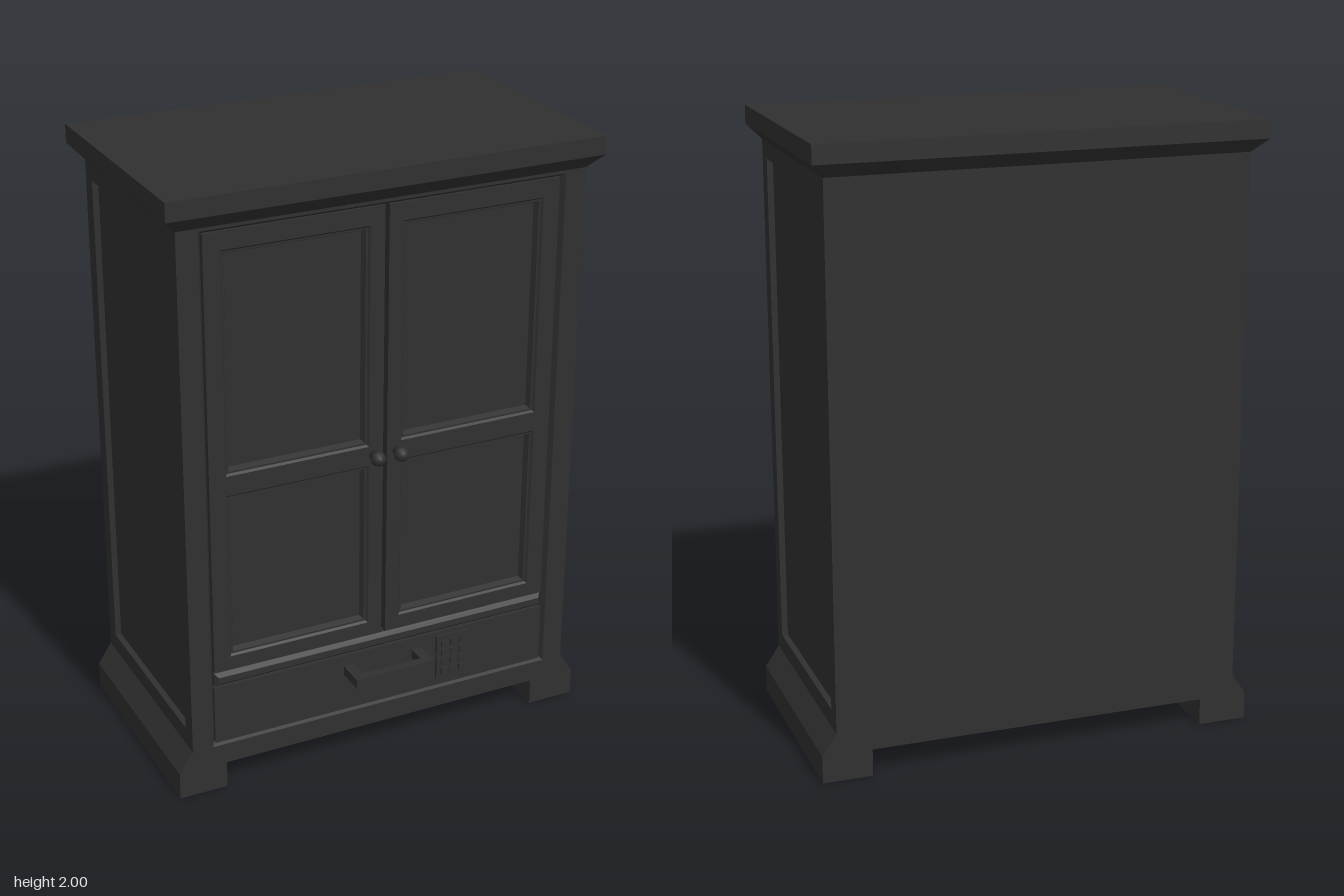
import * as THREE from 'three';

const material = new THREE.MeshStandardMaterial({ color: 0x303030 });

// Rectangle outline as [x0, x1, y0, y1]
function trace(path, [x0, x1, y0, y1]) {
  path.moveTo(x0, y0);
  path.lineTo(x1, y0);
  path.lineTo(x1, y1);
  path.lineTo(x0, y1);
  path.closePath();
  return path;
}

// Flat board with rectangular openings, spanning z0 to z1
function board(outer, holes, z0, z1) {
  const shape = trace(new THREE.Shape(), outer);
  shape.holes = holes.map((h) => trace(new THREE.Path(), h));
  return new THREE.ExtrudeGeometry(shape, { depth: z1 - z0, bevelEnabled: false }).translate(0, 0, z0);
}

// Mitred loft through rectangles [x0, x1, y0, y1, z], optionally capped at start and end
function loft(sections, capStart, capEnd) {
  const rings = sections.map(([x0, x1, y0, y1, z]) =>
    [[x0, y0, z], [x1, y0, z], [x1, y1, z], [x0, y1, z]]);
  const pos = [];
  const quad = (a, b, c, d) => pos.push(...a, ...b, ...c, ...a, ...c, ...d);
  for (let s = 0; s < rings.length - 1; s++) {
    for (let i = 0; i < 4; i++) {
      const j = (i + 1) % 4;
      quad(rings[s][i], rings[s][j], rings[s + 1][j], rings[s + 1][i]);
    }
  }
  if (capStart) quad(...[...rings[0]].reverse());
  if (capEnd) quad(...rings[rings.length - 1]);
  const geometry = new THREE.BufferGeometry();
  geometry.setAttribute('position', new THREE.Float32BufferAttribute(pos, 3));
  geometry.computeVertexNormals();
  return geometry;
}

const inset = ([x0, x1, y0, y1], d, z) => [x0 + d, x1 - d, y0 + d, y1 - d, z];

function box(x0, x1, y0, y1, z0, z1) {
  return new THREE.BoxGeometry(x1 - x0, y1 - y0, z1 - z0)
    .translate((x0 + x1) / 2, (y0 + y1) / 2, (z0 + z1) / 2);
}

export function createModel() {
  const model = new THREE.Group();
  model.name = 'wardrobe';
  const add = (name, geometry, parent = model) => {
    const mesh = new THREE.Mesh(geometry, material);
    mesh.name = name;
    parent.add(mesh);
    return mesh;
  };

  const back = -0.39, front = 0.355, panelZ = 0.315, doorZ = 0.345;

  // Carcass core, which also shows as the back
  add('carcass', box(-0.655, 0.655, 0.16, 1.9, back, panelZ));

  // Base with flared full-depth feet
  const base = new THREE.Shape();
  const half = [[0.56, 0.09], [0.56, 0], [0.722, 0], [0.722, 0.09], [0.675, 0.16]];
  const mirrored = half.map(([x, y]) => [-x, y]).reverse();
  base.setFromPoints([...half, ...mirrored].map(([x, y]) => new THREE.Vector2(x, y)));
  add('base', new THREE.ExtrudeGeometry(base, { depth: front - back, bevelEnabled: false })
    .translate(0, 0, back));

  // Sloped cornice and top slab
  add('cornice', loft([
    [-0.675, 0.675, -0.355, 0.39, 1.895],
    [-0.718, 0.718, -0.395, 0.435, 1.94],
    [-0.718, 0.718, -0.395, 0.435, 2.0],
  ], true, true).rotateX(-Math.PI / 2));

  // Side frames around recessed panels
  for (const [name, x] of [['leftSideFrame', 0.655], ['rightSideFrame', -0.675]]) {
    add(name, board([-front, -back, 0.16, 1.9], [[-0.3, 0.335, 0.22, 1.84]], 0, 0.02)
      .rotateY(Math.PI / 2).translate(x, 0, 0));
  }

  // Front face frame with a bevelled lip
  const opening = [-0.605, 0.605, 0.16, 1.885];
  add('faceFrame', board([-0.655, 0.655, 0.16, 1.9], [opening], panelZ, front));
  add('faceFrameLip', loft([inset(opening, 0, front), inset(opening, 0.012, 0.335)], false, false));

  // Doors, each with two moulded panels and a round knob
  const knobProfile = [[0, 0], [0.014, 0], [0.011, 0.012], [0.019, 0.02], [0.024, 0.032],
    [0.021, 0.046], [0.012, 0.054], [0, 0.057]].map(([x, y]) => new THREE.Vector2(x, y));
  for (const side of [-1, 1]) {
    const door = new THREE.Group();
    door.name = side > 0 ? 'leftDoor' : 'rightDoor';
    model.add(door);
    const rect = (a, b, y0, y1) => side > 0 ? [a, b, y0, y1] : [-b, -a, y0, y1];
    const panels = [rect(0.055, 0.535, 1.095, 1.815), rect(0.055, 0.535, 0.47, 1.03)];
    add('doorFrame', board(rect(0.007, 0.59, 0.422, 1.873), panels, panelZ, doorZ), door);
    for (const p of panels) {
      add('panelMoulding', loft([
        inset(p, 0, doorZ), inset(p, 0.006, 0.338), inset(p, 0.012, 0.338), inset(p, 0.02, 0.32),
      ], false, true), door);
    }
    add('knob', new THREE.LatheGeometry(knobProfile, 20).rotateX(Math.PI / 2)
      .translate(side * 0.04, 1.065, doorZ), door);
  }

  // Moulded rail between doors and drawer
  const rail = [-0.59, 0.59, 0.372, 0.418];
  add('middleRail', loft([
    inset(rail, 0, panelZ), inset(rail, 0, 0.338), inset(rail, 0.012, 0.352),
  ], false, true));

  // Drawer front and its bar handle
  add('drawerFront', box(-0.593, 0.593, 0.163, 0.367, panelZ, doorZ));
  const handle = new THREE.Group();
  handle.name = 'drawerHandle';
  model.add(handle);
  add('handleBar', box(-0.14, 0.14, 0.297, 0.328, 0.408, 0.438), handle);
  for (const x of [-0.1225, 0.1225]) {
    add('handlePost', box(x - 0.0175, x + 0.0175, 0.297, 0.328, doorZ, 0.408), handle);
  }

  // Small keypad on the drawer
  const keypad = new THREE.Group();
  keypad.name = 'keypad';
  model.add(keypad);
  add('keypadPlate', box(0.195, 0.315, 0.195, 0.355, doorZ, 0.354), keypad);
  for (let row = 0; row < 4; row++) {
    for (let col = 0; col < 3; col++) {
      const x = 0.222 + col * 0.033, y = 0.222 + row * 0.035;
      add('key', box(x - 0.011, x + 0.011, y - 0.011, y + 0.011, 0.354, 0.36), keypad);
    }
  }
  return model;
}
